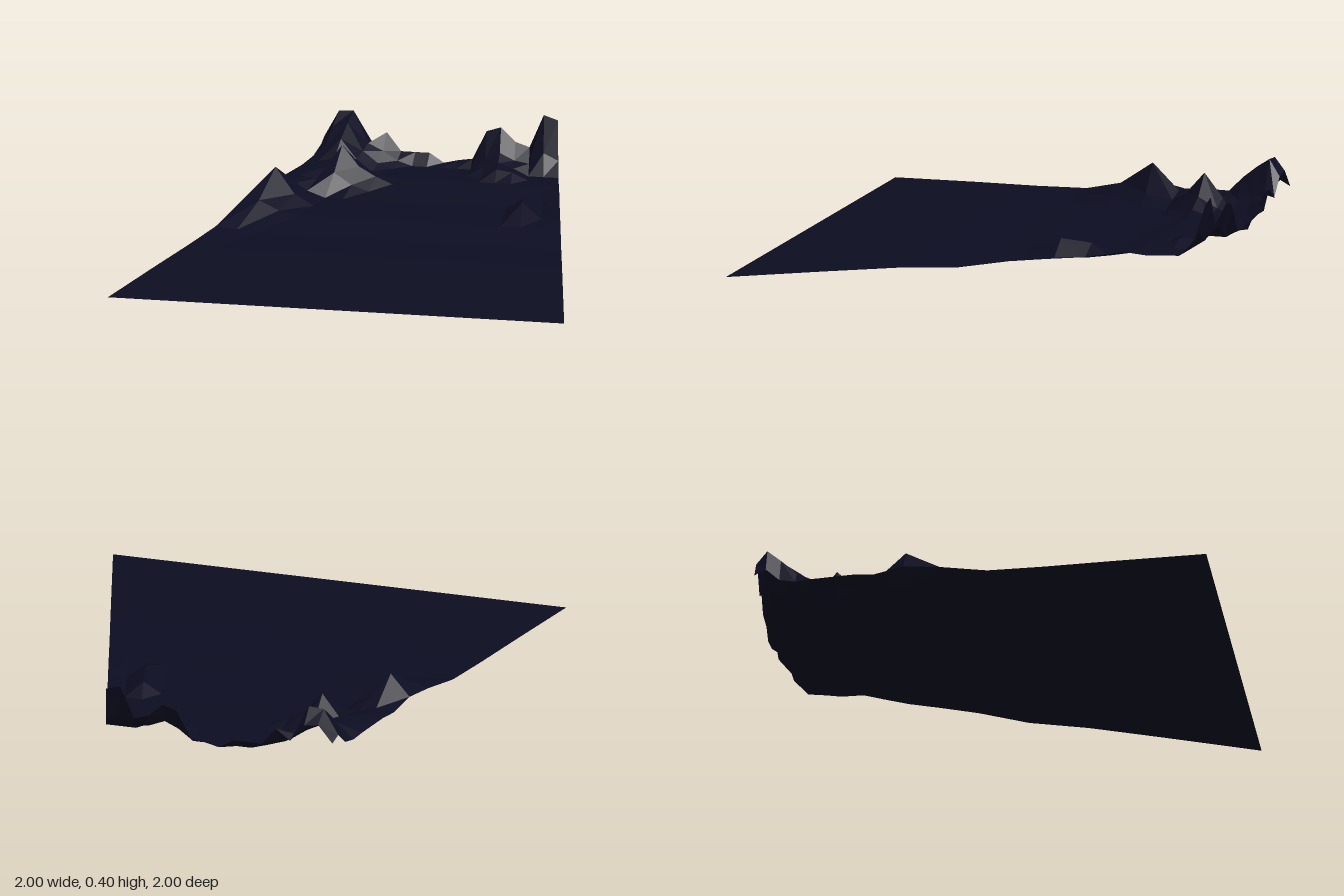
import * as THREE from 'three';

const COLS = 16;

// Grid rows from the front edge to the back: depth and height of the valley floor
const ROW_Z = [1, 0.59, 0.28, 0.03, -0.18, -0.34, -0.47, -0.57, -0.66, -0.75, -0.82, -0.89, -0.95, -1];
const FLOOR = [0, 0.037, 0.063, 0.072, 0.105, 0.108, 0.112, 0.125, 0.14, 0.148, 0.15, 0.15, 0.15, 0.15];

// Ridge line along the back edge
const RIDGE = [0.24, 0.32, 0.31, 0.23, 0.28, 0.2, 0.2, 0.2, 0.16, 0.175, 0.185, 0.31, 0.33, 0.27, 0.25, 0.395, 0.375];

// Hills per row: column and height
const HILLS = {
  3: [[0, 0.088], [1, 0.08]],
  4: [[0, 0.14], [1, 0.16], [2, 0.12]],
  5: [[0, 0.17], [1, 0.27], [2, 0.155], [14, 0.175], [16, 0.12]],
  6: [[0, 0.155], [1, 0.165], [2, 0.14], [14, 0.16], [16, 0.13]],
  7: [[0, 0.17], [1, 0.18], [2, 0.17], [3, 0.2], [4, 0.15], [16, 0.145]],
  8: [[0, 0.175], [1, 0.19], [2, 0.2], [3, 0.3], [4, 0.21], [5, 0.17], [16, 0.16]],
  9: [[0, 0.18], [1, 0.2], [2, 0.215], [3, 0.2], [4, 0.17]],
  10: [[0, 0.18], [1, 0.25], [2, 0.285], [3, 0.2], [12, 0.19], [13, 0.18]],
  11: [[0, 0.2], [1, 0.32], [2, 0.34], [3, 0.22], [4, 0.17], [11, 0.18], [12, 0.2], [13, 0.18]],
  12: [[0, 0.26], [1, 0.375], [2, 0.38], [3, 0.24], [4, 0.21], [5, 0.17],
    [11, 0.2], [12, 0.23], [13, 0.2], [14, 0.19], [15, 0.24], [16, 0.21]],
};

function heightAt(row, col) {
  if (row === ROW_Z.length - 1) return RIDGE[col];
  const hill = (HILLS[row] || []).find(([c]) => c === col);
  return hill ? hill[1] : FLOOR[row];
}

export function createModel() {
  const group = new THREE.Group();
  group.name = 'valleyLandscape';

  const nightNavy = new THREE.MeshStandardMaterial({ color: 0x0d0d22, side: THREE.DoubleSide, flatShading: true });
  nightNavy.name = 'nightNavy';

  // Terrain sheet: a grid narrowing towards the back
  const geometry = new THREE.PlaneGeometry(2, 2, COLS, ROW_Z.length - 1);
  const pos = geometry.attributes.position;
  for (let i = 0; i < pos.count; i++) {
    const col = i % (COLS + 1);
    const row = ROW_Z.length - 1 - Math.floor(i / (COLS + 1)); // plane starts at the back
    const z = ROW_Z[row];
    const halfWidth = 0.75 + z / 4;
    pos.setXYZ(i, (col / COLS * 2 - 1) * halfWidth, heightAt(row, col), z);
  }
  geometry.computeVertexNormals();

  const terrain = new THREE.Mesh(geometry, nightNavy);
  terrain.name = 'terrain';
  group.add(terrain);
  return group;
}
